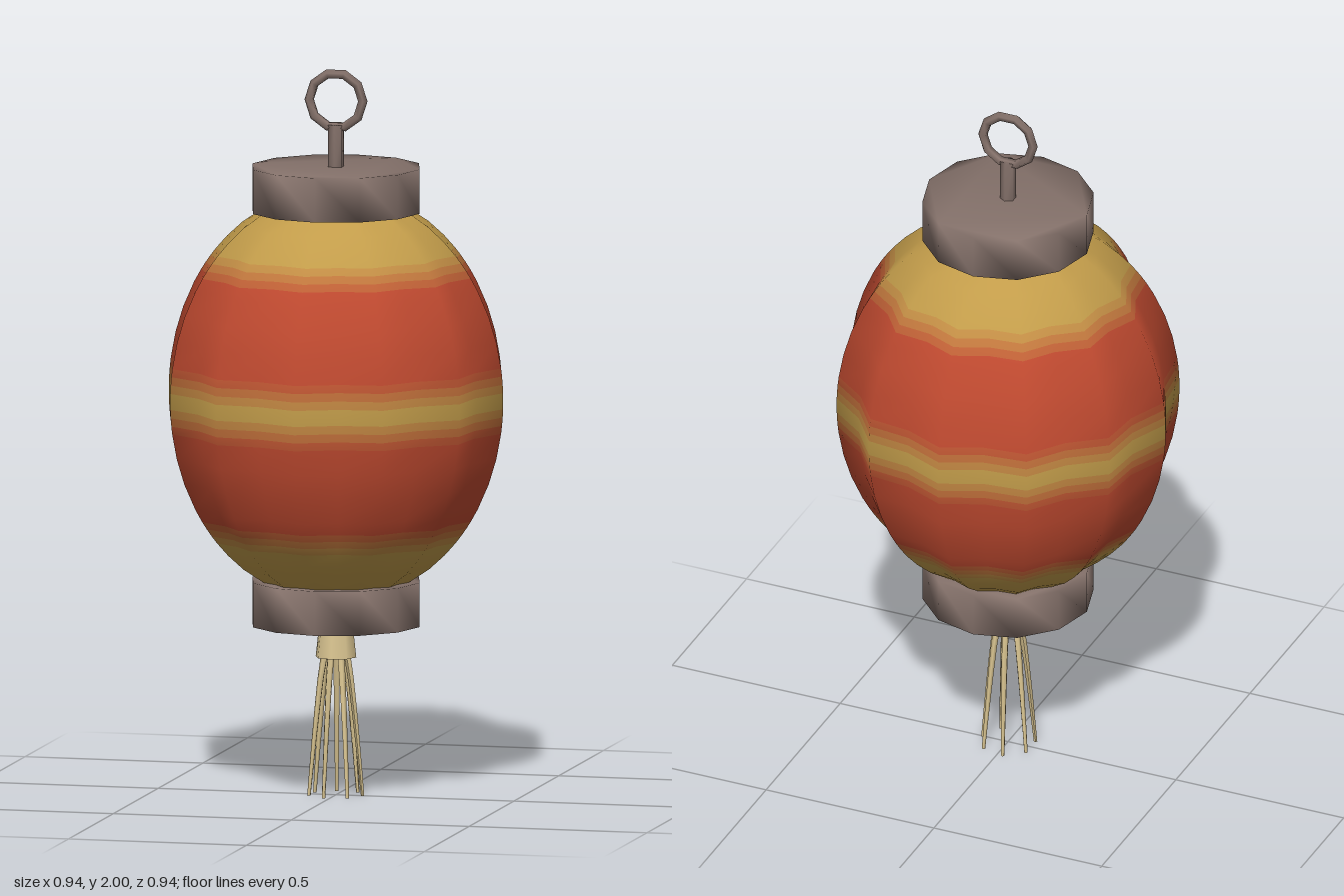
import * as THREE from 'three';
import { mergeVertices } from 'three/addons/utils/BufferGeometryUtils.js';

const RED = new THREE.Color(0xc04a30);
const GOLD = new THREE.Color(0xc29c4a);
const METAL = new THREE.Color(0x84716a);
const CORD = new THREE.Color(0xdac591);

const paint = (color) => new THREE.MeshStandardMaterial({ color });

function addMesh(parent, name, geometry, color) {
  const mesh = new THREE.Mesh(geometry, paint(color));
  mesh.name = name;
  parent.add(mesh);
  return mesh;
}

// Share corners so shading rolls softly over the edges
function soften(geometry) {
  geometry.deleteAttribute('normal');
  geometry.deleteAttribute('uv');
  const merged = mergeVertices(geometry, 1e-4);
  merged.computeVertexNormals();
  return merged;
}

// Ribbed paper shade: one smooth shell, split into coloured bands
function createShade() {
  const shade = new THREE.Group();
  shade.name = 'paperShade';
  const SIDES = 24, MID = 1.1, RADIUS = 0.47, HALF = 0.566;
  // upper limit of each band above the middle, and its share of red
  const bands = [
    [0.022, 0], [0.045, 0.35], [0.068, 0.65], [0.09, 0.9],
    [0.16, 1], [0.23, 1], [0.3, 1], [0.335, 1],
    [0.355, 0.8], [0.375, 0.55], [0.395, 0.25],
    [0.43, 0], [0.47, 0], [0.515, 0],
  ];
  const limits = bands.map((b) => b[0]);
  const levels = [...limits.map((d) => -d).reverse(), 0, ...limits];
  const shares = bands.map((b) => b[1]);
  const mixes = [...shares.slice().reverse(), ...shares];

  const points = [];
  for (const d of levels) {
    const r = RADIUS * Math.sqrt(1 - (d / HALF) ** 2);
    for (let i = 0; i < SIDES; i++) {
      const a = (i / SIDES) * Math.PI * 2;
      const rr = i % 2 ? r * 0.928 : r;
      points.push(Math.cos(a) * rr, MID + d, Math.sin(a) * rr);
    }
  }
  const rows = mixes.map((_, row) => {
    const index = [];
    for (let i = 0; i < SIDES; i++) {
      const a = row * SIDES + i, b = row * SIDES + ((i + 1) % SIDES);
      index.push(a, a + SIDES, b, b, a + SIDES, b + SIDES);
    }
    return index;
  });
  const shell = new THREE.BufferGeometry();
  shell.setAttribute('position', new THREE.Float32BufferAttribute(points, 3));
  shell.setIndex(rows.flat());
  shell.computeVertexNormals();

  // Neighbouring rows of the same colour become one band
  for (let start = 0; start < rows.length;) {
    let end = start + 1;
    while (end < rows.length && mixes[end] === mixes[start]) end++;
    const band = new THREE.BufferGeometry();
    band.setAttribute('position', shell.getAttribute('position'));
    band.setAttribute('normal', shell.getAttribute('normal'));
    band.setIndex(rows.slice(start, end).flat());
    const mesh = addMesh(shade, 'shadeBand', band, GOLD.clone().lerp(RED, mixes[start]));
    mesh.material.side = THREE.DoubleSide;
    start = end;
  }
  return shade;
}

// Twelve-sided end cap
function createCap(name, bottom, parent) {
  const corners = [];
  for (let i = 0; i < 12; i++) {
    const a = (i / 12) * Math.PI * 2;
    corners.push(new THREE.Vector2(Math.cos(a) * 0.235, Math.sin(a) * 0.235));
  }
  const geometry = new THREE.ExtrudeGeometry(new THREE.Shape(corners), {
    depth: 0.122, bevelEnabled: false,
  });
  geometry.rotateX(-Math.PI / 2).translate(0, bottom, 0);
  addMesh(parent, name, soften(geometry), METAL);
}

// Tassel strand: a thin tapered rod that flares outward toward the bottom
function createStrand() {
  const geometry = new THREE.CylinderGeometry(0.01, 0.005, 0.4, 5, 5);
  geometry.translate(0, 0.2, 0);
  const p = geometry.getAttribute('position');
  for (let i = 0; i < p.count; i++) {
    const drop = THREE.MathUtils.clamp(1 - p.getY(i) / 0.4, 0, 1);
    p.setX(i, p.getX(i) + 0.03 + 0.045 * Math.pow(drop, 0.8));
  }
  geometry.computeVertexNormals();
  return geometry;
}

export function createModel() {
  const lantern = new THREE.Group();
  lantern.name = 'paperLantern';

  lantern.add(createShade());
  createCap('topCap', 1.608, lantern);
  createCap('bottomCap', 0.47, lantern);

  // Hanging stem and ring
  const stem = new THREE.CylinderGeometry(0.022, 0.022, 0.145, 6);
  addMesh(lantern, 'hangingStem', soften(stem.translate(0, 1.7725, 0)), METAL);
  const ring = new THREE.TorusGeometry(0.075, 0.0135, 5, 10);
  addMesh(lantern, 'hangingRing', ring.translate(0, 1.912, 0), METAL);

  // Tassel
  const tassel = new THREE.Group();
  tassel.name = 'tassel';
  const knot = new THREE.CylinderGeometry(0.046, 0.057, 0.1, 8);
  addMesh(tassel, 'tasselKnot', knot.translate(0, 0.43, 0), CORD);
  const strand = createStrand();
  for (let i = 0; i < 7; i++) {
    addMesh(tassel, 'tasselStrand', strand, CORD).rotation.y = (i / 7) * Math.PI * 2;
  }
  lantern.add(tassel);

  return lantern;
}
